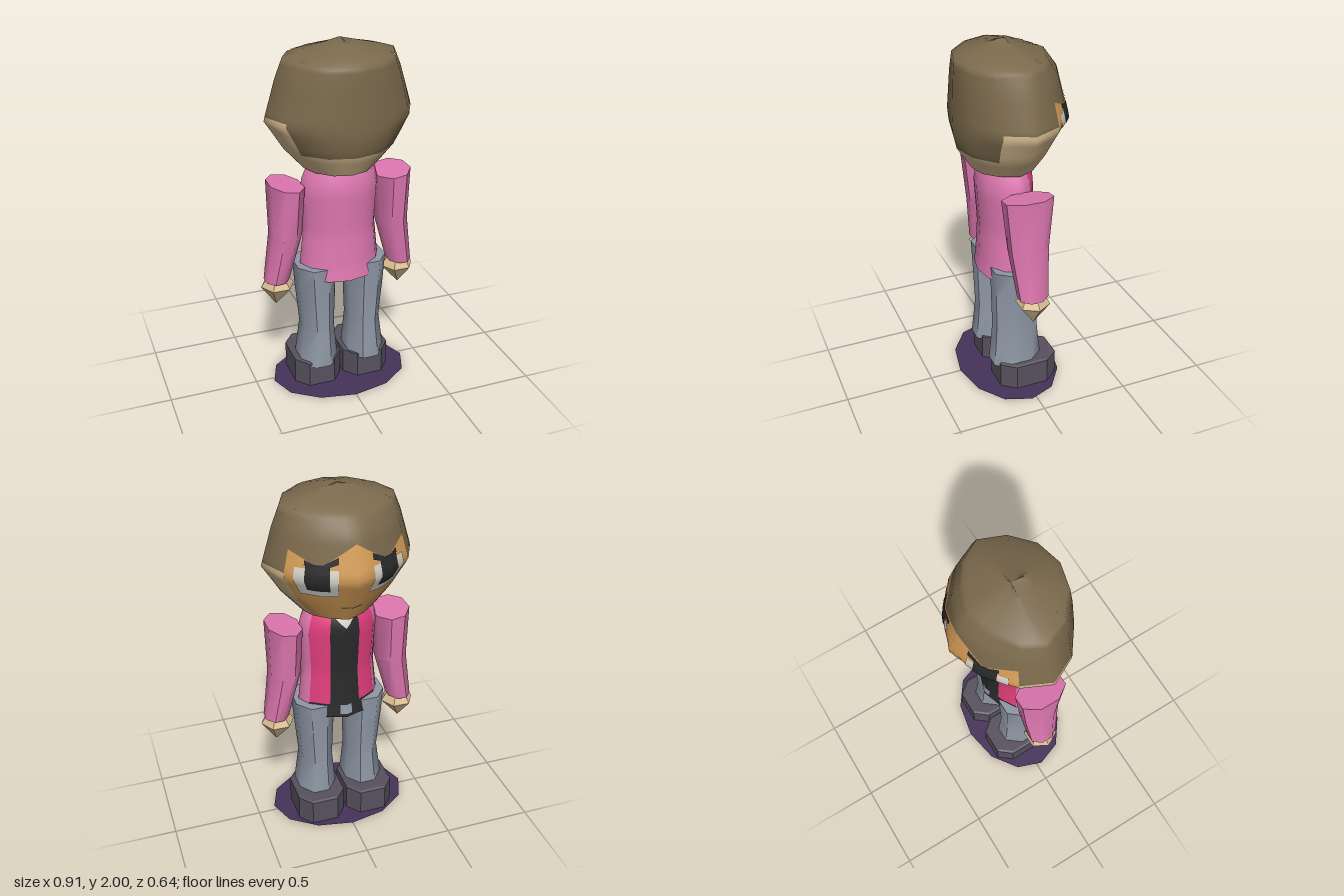
import * as THREE from 'three';
import { toCreasedNormals } from 'three/addons/utils/BufferGeometryUtils.js';

const paint = (name, color) => {
  const m = new THREE.MeshStandardMaterial({ color });
  m.name = name;
  return m;
};

// Cross-section factors from front centre (u = 0) to back centre (u = 6)
const SX = [0, 0.46, 0.82, 1, 0.82, 0.46, 0];
const SZ = [-1, -0.78, -0.45, 0, 0.5, 0.87, 1];
const MID = 0.03;

// Rings are [y, half width, front z, back z]; returns a point for (u, y)
function makeSurface(rings) {
  const at = (u, y) => {
    const a = Math.min(6, Math.abs(u)), i = Math.min(5, Math.floor(a)), f = a - i;
    const sx = SX[i] + (SX[i + 1] - SX[i]) * f;
    const sz = SZ[i] + (SZ[i + 1] - SZ[i]) * f;
    y = THREE.MathUtils.clamp(y, rings[0][0], rings[rings.length - 1][0]);
    let k = 0;
    while (k < rings.length - 2 && y > rings[k + 1][0]) k++;
    const t = (y - rings[k][0]) / (rings[k + 1][0] - rings[k][0]);
    const [, w, zf, zb] = rings[k].map((v, n) => v + (rings[k + 1][n] - v) * t);
    return new THREE.Vector3(Math.sign(u) * sx * w, y, MID + sz * (sz < 0 ? MID - zf : zb - MID));
  };
  const wrap = (u) => (u > 6 ? u - 12 : u < -6 ? u + 12 : u);
  const normal = (u, y) => {
    const du = at(wrap(u + 0.5), y).sub(at(wrap(u - 0.5), y));
    const dy = at(u, y + 0.04).sub(at(u, y - 0.04));
    const n = dy.cross(du);
    return n.length() < 1e-5 ? new THREE.Vector3(0, 1, 0) : n.normalize();
  };
  return { at, normal };
}

// Piece of a surface between a lower and an upper edge; columns are [u, low, high]
function strip(surface, cols, rows = 6, lift = 0) {
  const pos = [], nor = [], idx = [], fine = [];
  for (let c = 0; c < cols.length - 1; c++) {
    const n = Math.max(1, Math.ceil((cols[c + 1][0] - cols[c][0]) * 4 - 1e-6));
    for (let i = c ? 1 : 0; i <= n; i++) {
      fine.push(cols[c].map((v, k) => v + ((cols[c + 1][k] - v) * i) / n));
    }
  }
  fine.forEach(([u, lo, hi], c) => {
    for (let r = 0; r <= rows; r++) {
      const y = lo + ((hi - lo) * r) / rows, n = surface.normal(u, y);
      pos.push(...surface.at(u, y).addScaledVector(n, lift).toArray());
      nor.push(...n.toArray());
      if (c && r) {
        const d = c * (rows + 1) + r, b = d - rows - 1;
        idx.push(b - 1, b, d, b - 1, d, d - 1);
      }
    }
  });
  const g = new THREE.BufferGeometry();
  g.setAttribute('position', new THREE.Float32BufferAttribute(pos, 3));
  g.setAttribute('normal', new THREE.Float32BufferAttribute(nor, 3));
  g.setIndex(idx);
  return g;
}

// Closed loft of a section through rings [y, centre x, centre z, half x, half z, tilt]
function loft(section, rings, crease) {
  const pos = [], idx = [], n = section.length;
  for (const [y, cx, cz, hx, hz, tilt = 0] of rings) {
    for (const [px, pz] of section) pos.push(cx + px * hx, y + px * hx * tilt, cz + pz * hz);
  }
  for (let r = 0; r < rings.length - 1; r++) {
    for (let i = 0; i < n; i++) {
      const a = r * n + i, b = r * n + ((i + 1) % n);
      idx.push(a, b, b + n, a, b + n, a + n);
    }
  }
  const top = (rings.length - 1) * n;
  for (let i = 1; i < n - 1; i++) idx.push(0, i + 1, i, top, top + i, top + i + 1);
  const g = new THREE.BufferGeometry();
  g.setAttribute('position', new THREE.Float32BufferAttribute(pos, 3));
  g.setIndex(idx);
  return toCreasedNormals(g, crease);
}

const ngon = (n, start = 0) => Array.from({ length: n }, (_, i) => {
  const a = start + (i / n) * Math.PI * 2;
  return [Math.sin(a), Math.cos(a)];
});
const CHAMFERED = [[-0.55, 1], [0.55, 1], [1, 0.55], [1, -0.55], [0.55, -1], [-0.55, -1], [-1, -0.55], [-1, 0.55]];

export function createModel() {
  const model = new THREE.Group();
  model.name = 'figure';
  const hair = paint('hair brown', 0x7a694c), skin = paint('skin', 0xd9bd92);
  const faceTone = paint('face tan', 0xd39c57), white = paint('off white', 0xd8d4cb);
  const black = paint('black', 0x2a2a2a), pink = paint('jacket pink', 0xdf78b1);
  const hot = paint('lining pink', 0xe23f7c), denim = paint('denim grey', 0x8f98a6);
  const leather = paint('shoe grey', 0x57515e), purple = paint('base purple', 0x46325a);
  purple.side = THREE.DoubleSide;
  const add = (name, geometry, material) => {
    const m = new THREE.Mesh(geometry, material);
    m.name = name;
    model.add(m);
    return m;
  };
  // Flat cap under a surface at height y
  const cap = (name, s, y, mat) => {
    const pts = Array.from({ length: 12 }, (_, i) => s.at(i - 6, y));
    const g = new THREE.ShapeGeometry(new THREE.Shape(pts.map((p) => new THREE.Vector2(p.x, p.z))));
    add(name, g.rotateX(Math.PI / 2).translate(0, y, 0), mat);
  };

  // Head: hair, side skin and face share one surface
  const head = makeSurface([
    [1.315, 0.2, -0.16, 0.22], [1.44, 0.31, -0.23, 0.3], [1.53, 0.365, -0.28, 0.32],
    [1.6, 0.41, -0.32, 0.32], [1.82, 0.345, -0.26, 0.31], [1.93, 0.3, -0.18, 0.3], [2, 0, 0.07, 0.07],
  ]);
  // the apex sits behind the middle line
  const rawAt = head.at;
  head.at = (u, y) => rawAt(u, y);
  const fringe = [[-2, 1.74], [-1, 1.67], [0, 1.79], [1, 1.67], [2, 1.74]];
  add('face', strip(head, fringe.map(([u, h]) => [u, 1.315, h]), 16), faceTone);
  add('fringe', strip(head, fringe.map(([u, h]) => [u, h, 2]), 20), hair);
  for (const s of [-1, 1]) {
    const span = (a, b, lo, hi) => (s > 0 ? [[a, lo, hi], [b, lo, hi]] : [[-b, lo, hi], [-a, lo, hi]]);
    add('cheek', strip(head, span(2, 4, 1.315, 1.62), 14), skin);
    add('sideHair', strip(head, span(2, 4, 1.62, 2), 20), hair);
    add('nape', strip(head, span(4, 6, 1.315, 1.44), 6), skin);
    add('backHair', strip(head, span(4, 6, 1.44, 2), 28), hair);
    // Eye white, pupil and slanted brow
    add('eyeWhite', strip(head, span(0.5, 1.72, 1.5, 1.66), 10, 0.004), white);
    add('pupil', strip(head, span(0.72, 1.4, 1.54, 1.685), 10, 0.007), black);
    const brow = [[0.5, 1.69, 1.725], [1, 1.655, 1.675], [1.45, 1.675, 1.7]];
    add('brow', strip(head, s > 0 ? brow : brow.map(([u, a, b]) => [-u, a, b]).reverse(), 3, 0.005), black);
  }
  add('mouth', strip(head, [[-0.4, 1.412, 1.42], [0.4, 1.412, 1.42]], 1, 0.004), hair);
  cap('headUnderside', head, 1.315, skin);

  // Torso: open jacket over a dark shirt with a belt
  const torso = makeSurface([
    [0.68, 0.24, -0.14, 0.2], [0.76, 0.23, -0.125, 0.19], [0.95, 0.21, -0.112, 0.18],
    [1.2, 0.225, -0.125, 0.195], [1.27, 0.21, -0.12, 0.185], [1.33, 0.18, -0.08, 0.165],
  ]);
  for (const [a, b] of [[-6, -2], [2, 6]]) add('jacket', strip(torso, [[a, 0.68, 1.33], [b, 0.68, 1.33]], 20), pink);
  for (const [a, b] of [[-2, -0.8], [0.8, 2]]) add('lapel', strip(torso, [[a, 0.76, 1.33], [b, 0.76, 1.33]], 18), hot);
  add('shirt', strip(torso, [[-0.8, 0.76, 1.33], [0, 0.76, 1.33], [0.8, 0.76, 1.33]], 18), black);
  add('belt', strip(torso, [[-2, 0.68, 0.76], [0, 0.68, 0.76], [2, 0.68, 0.76]], 4), black);
  add('buckle', strip(torso, [[-0.3, 0.7, 0.755], [0, 0.7, 0.755], [0.3, 0.7, 0.755]], 3, 0.005), denim);
  add('collar', strip(torso, [[-0.9, 1.325, 1.33], [0, 1.24, 1.33], [0.9, 1.325, 1.33]], 6, 0.004), white);
  cap('jacketUnderside', torso, 0.68, pink);

  // Limbs, mirrored
  const oct = ngon(8, Math.PI / 8).map(([x, z]) => [x * 1.08, z * 1.08]);
  for (const s of [-1, 1]) {
    add('sleeve', loft(oct, [
      [0.675, s * 0.365, 0.022, 0.065, 0.08, -s * 0.06], [0.95, s * 0.31, 0.027, 0.083, 0.105],
      [1.24, s * 0.305, 0.03, 0.093, 0.132, s * 0.16],
    ], 0.9), pink);
    add('hand', loft(ngon(6, Math.PI / 2), [
      [0.515, s * 0.37, 0.018, 0.001, 0.001], [0.633, s * 0.36, 0.018, 0.094, 0.094],
      [0.69, s * 0.36, 0.018, 0.055, 0.06],
    ], 0.4), skin);
    add('leg', loft(oct, [
      [0.13, s * 0.143, 0.032, 0.112, 0.142], [0.36, s * 0.138, 0.032, 0.088, 0.122],
      [0.6, s * 0.145, 0.03, 0.103, 0.13], [0.75, s * 0.15, 0.03, 0.108, 0.135],
    ], 0.9), denim);
    add('shoe', loft(CHAMFERED, [
      [0, s * 0.147, -0.02, 0.137, 0.17], [0.15, s * 0.147, -0.02, 0.137, 0.17],
      [0.157, s * 0.147, -0.02, 0.125, 0.158],
    ], 0.3), leather);
  }

  // Flat ground disc
  const disc = add('baseDisc', new THREE.CircleGeometry(1, 12), purple);
  disc.rotation.x = -Math.PI / 2;
  disc.scale.set(0.4, 0.29, 1);
  disc.position.set(0, 0.003, MID);
  return model;
}
